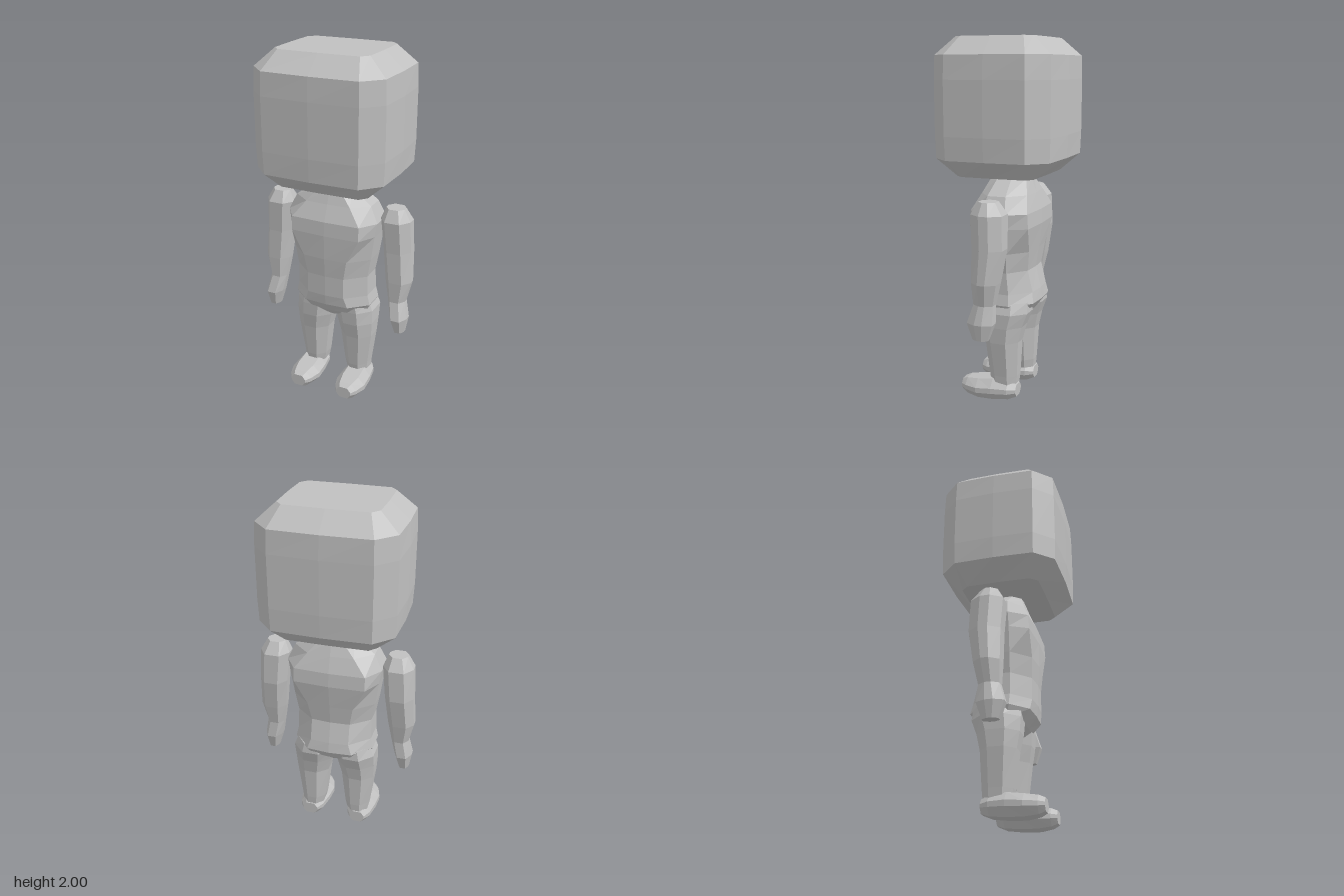
import * as THREE from 'three';

const grey = new THREE.MeshStandardMaterial({ color: 0xc0c0c0 });
grey.name = 'plain grey';

// Skins a stack of equal-length point rings, caps both ends, faceted normals
function loft(name, rings) {
  const pos = [];
  const n = rings[0].length;
  const tri = (...pts) => pts.forEach((p) => pos.push(p[0], p[1], p[2]));
  const centre = (r) => [0, 1, 2].map((k) => r.reduce((s, p) => s + p[k], 0) / n);
  const first = rings[0], last = rings[rings.length - 1];
  const c0 = centre(first), c1 = centre(last);
  for (let j = 0; j < n; j++) {
    const k = (j + 1) % n;
    for (let i = 0; i < rings.length - 1; i++) {
      const a = rings[i], b = rings[i + 1];
      tri(a[j], a[k], b[k]);
      tri(a[j], b[k], b[j]);
    }
    tri(c0, first[k], first[j]);
    tri(c1, last[j], last[k]);
  }
  const geo = new THREE.BufferGeometry();
  geo.setAttribute('position', new THREE.Float32BufferAttribute(pos, 3));
  geo.computeVertexNormals();
  const mesh = new THREE.Mesh(geo, grey);
  mesh.name = name;
  return mesh;
}

// Eight-sided outline between two limits per axis; ku, kv set the length of the flats
function octagon(u0, u1, v0, v1, ku, kv) {
  const cu = (u0 + u1) / 2, hu = (u1 - u0) / 2, cv = (v0 + v1) / 2, hv = (v1 - v0) / 2;
  return [[1, -kv], [1, kv], [ku, 1], [-ku, 1], [-1, kv], [-1, -kv], [-ku, -1], [ku, -1]]
    .map(([u, v]) => [cu + u * hu, cv + v * hv]);
}

// Limb rings at height y; rows are [y, inner x, outer x, back z, front z]
function limb(name, side, rows, kx, kz) {
  return loft(name, rows.map(([y, xi, xo, zb, zf]) =>
    octagon(Math.min(side * xi, side * xo), Math.max(side * xi, side * xo), -zf, -zb, kx, kz)
      .map(([x, v]) => [x, y, -v])));
}

// Big block head: bevelled corners, faces bowed slightly at the middle
function makeHead() {
  const rows = [ // y, half width, half depth, corner x, corner z, bow
    [1.27, 0.265, 0.22, 0.225, 0.175, 0.004],
    [1.365, 0.372, 0.328, 0.267, 0.22, 0.008],
    [1.49, 0.38, 0.334, 0.27, 0.222, 0.01],
    [1.78, 0.38, 0.334, 0.27, 0.222, 0.01],
    [1.905, 0.372, 0.328, 0.267, 0.22, 0.008],
    [2.0, 0.265, 0.22, 0.225, 0.175, 0.004],
  ];
  return loft('head', rows.map(([y, w, d, cx, cz, b]) => [
    [w, 0], [w - b, -cz], [cx, b - d], [0, -d], [-cx, b - d], [b - w, -cz],
    [-w, 0], [b - w, cz], [-cx, d - b], [0, d], [cx, d - b], [w - b, cz],
  ].map(([x, z]) => [x, y, z])));
}

// Torso from crotch to neck, with a broad front panel and a ridged back
function makeTorso() {
  const rows = [ // y, half width, front z, back z, panel half width
    [0.46, 0.04, 0.05, -0.09, 0.02],
    [0.51, 0.2, 0.1, -0.15, 0.11],
    [0.57, 0.23, 0.147, -0.195, 0.13],
    [0.63, 0.217, 0.155, -0.185, 0.11],
    [0.75, 0.215, 0.155, -0.155, 0.11],
    [0.86, 0.235, 0.163, -0.17, 0.13],
    [1.0, 0.255, 0.165, -0.19, 0.2],
    [1.08, 0.268, 0.16, -0.185, 0.2],
    [1.17, 0.225, 0.12, -0.155, 0.13],
    [1.25, 0.11, 0.09, -0.125, 0.06],
    [1.3, 0.06, 0.07, -0.1, 0.03],
  ];
  return loft('torso', rows.map(([y, w, f, b, p]) => [
    [w, f * 0.35], [w, b * 0.4], [p, b * 0.95], [0, b], [-p, b * 0.95],
    [-w, b * 0.4], [-w, f * 0.35], [-p, f * 0.95], [0, f], [p, f * 0.95],
  ].map(([x, z]) => [x, y, z])));
}

const armRows = [
  [0.43, 0.37, 0.43, -0.035, 0.05],
  [0.52, 0.345, 0.445, -0.065, 0.08],
  [0.62, 0.325, 0.425, -0.06, 0.05],
  [0.74, 0.305, 0.453, -0.085, 0.055],
  [0.92, 0.285, 0.445, -0.115, 0.055],
  [1.1, 0.268, 0.437, -0.11, 0.065],
  [1.165, 0.295, 0.4, -0.065, 0.03],
];

const legRows = [
  [0.1, 0.075, 0.2, -0.1, 0.05],
  [0.15, 0.065, 0.205, -0.105, 0.058],
  [0.35, 0.042, 0.232, -0.115, 0.08],
  [0.44, 0.02, 0.238, -0.135, 0.095],
  [0.52, 0.005, 0.238, -0.165, 0.1],
  [0.58, 0.02, 0.215, -0.16, 0.1],
];

// Foot rings run from heel to toe
function makeFoot(name, side) {
  const rows = [ // z, half width, bottom y, top y
    [-0.105, 0.045, 0.03, 0.1],
    [-0.06, 0.07, 0.012, 0.118],
    [0.03, 0.085, 0.002, 0.125],
    [0.12, 0.088, 0, 0.113],
    [0.19, 0.066, 0.01, 0.104],
    [0.222, 0.045, 0.025, 0.092],
  ];
  const cx = side * 0.147;
  return loft(name, rows.map(([z, h, y0, y1]) =>
    octagon(cx - h, cx + h, y0, y1, 0.55, 0.25).map(([x, y]) => [x, y, z])));
}

export function createModel() {
  const model = new THREE.Group();
  model.name = 'blockHeadFigure';
  model.add(makeHead(), makeTorso());
  for (const [label, side] of [['left', 1], ['right', -1]]) {
    model.add(
      limb(label + 'Arm', side, armRows, 0.5, 0.3),
      limb(label + 'Leg', side, legRows, 0.4, 0.45),
      makeFoot(label + 'Foot', side),
    );
  }
  return model;
}
